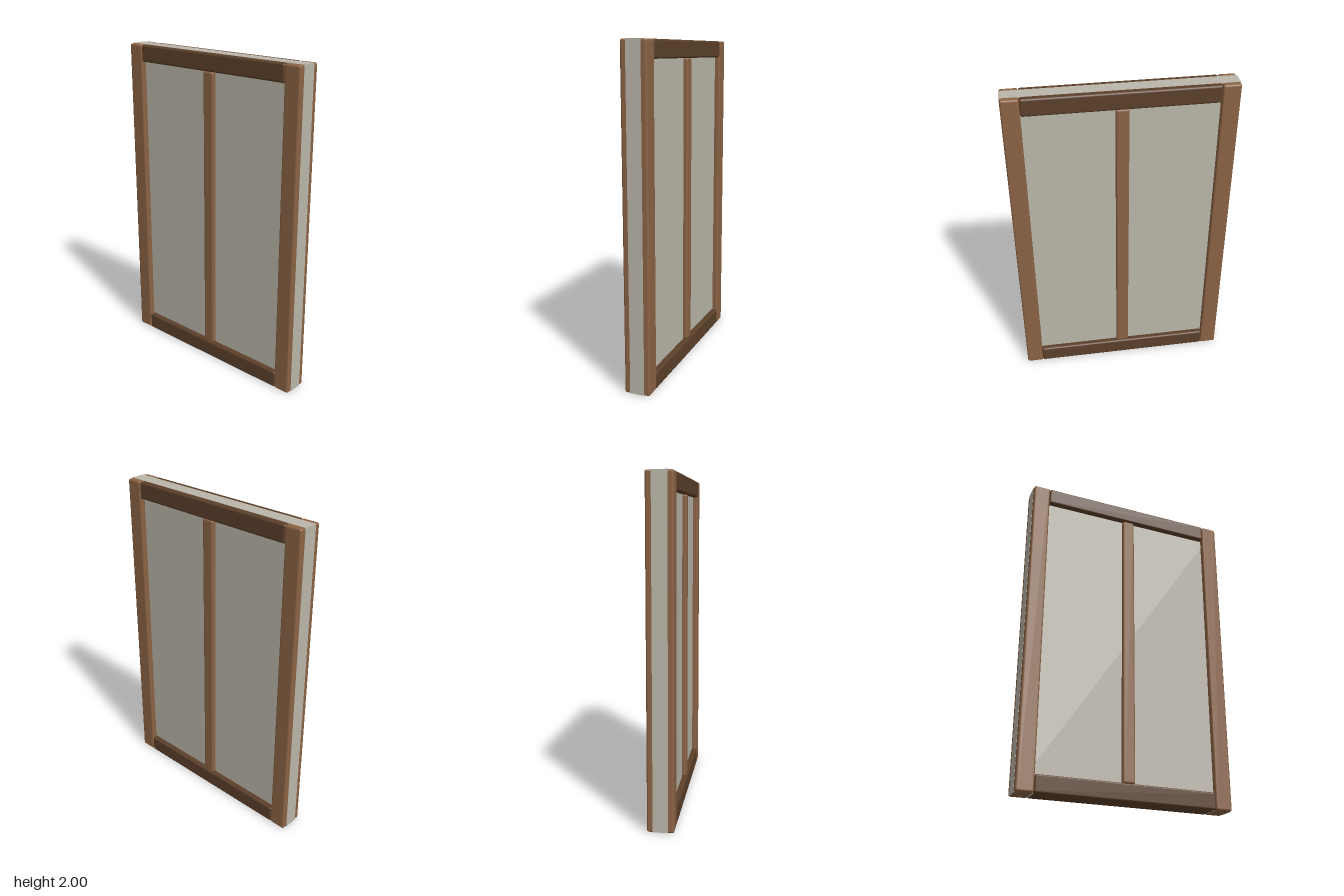
import * as THREE from 'three';
import { RoundedBoxGeometry } from 'three/addons/geometries/RoundedBoxGeometry.js';

const postWood = new THREE.MeshStandardMaterial({ color: 0x8b6344 });
const railWood = new THREE.MeshStandardMaterial({ color: 0x5c402a });
const plaster = new THREE.MeshStandardMaterial({ color: 0xbab6aa });

const HEIGHT = 2, HALF_WIDTH = 0.665, DEPTH = 0.156, BEAM = 0.105;

// Timber beam with softly rounded edges, centred on (x, y)
function beam(name, w, h, d, x, y, material) {
  const mesh = new THREE.Mesh(new RoundedBoxGeometry(w, h, d, 3, 0.012), material);
  mesh.name = name;
  mesh.position.set(x, y, 0);
  return mesh;
}

export function createModel() {
  const group = new THREE.Group();
  group.name = 'timberWallPanel';

  // Plaster infill, a hair proud of the frame at the sides and top
  const infill = new THREE.Mesh(
    new THREE.BoxGeometry(HALF_WIDTH * 2 + 0.002, HEIGHT - 0.001, 0.088), plaster);
  infill.name = 'plasterInfill';
  infill.position.y = HEIGHT / 2 + 0.0015;
  group.add(infill);

  // Side posts
  for (const [name, side] of [['leftPost', 1], ['rightPost', -1]]) {
    group.add(beam(name, BEAM, HEIGHT, DEPTH, side * (HALF_WIDTH - BEAM / 2), HEIGHT / 2, postWood));
  }

  // Top and bottom rails between the posts
  const railLength = 2 * (HALF_WIDTH - BEAM);
  for (const [name, y] of [['bottomRail', BEAM / 2], ['topRail', HEIGHT - BEAM / 2]]) {
    group.add(beam(name, railLength, BEAM, DEPTH, 0, y, railWood));
  }

  // Slim centre stud between the rails
  group.add(beam('centreStud', 0.078, HEIGHT - 2 * BEAM, 0.142, 0, HEIGHT / 2, postWood));

  return group;
}
